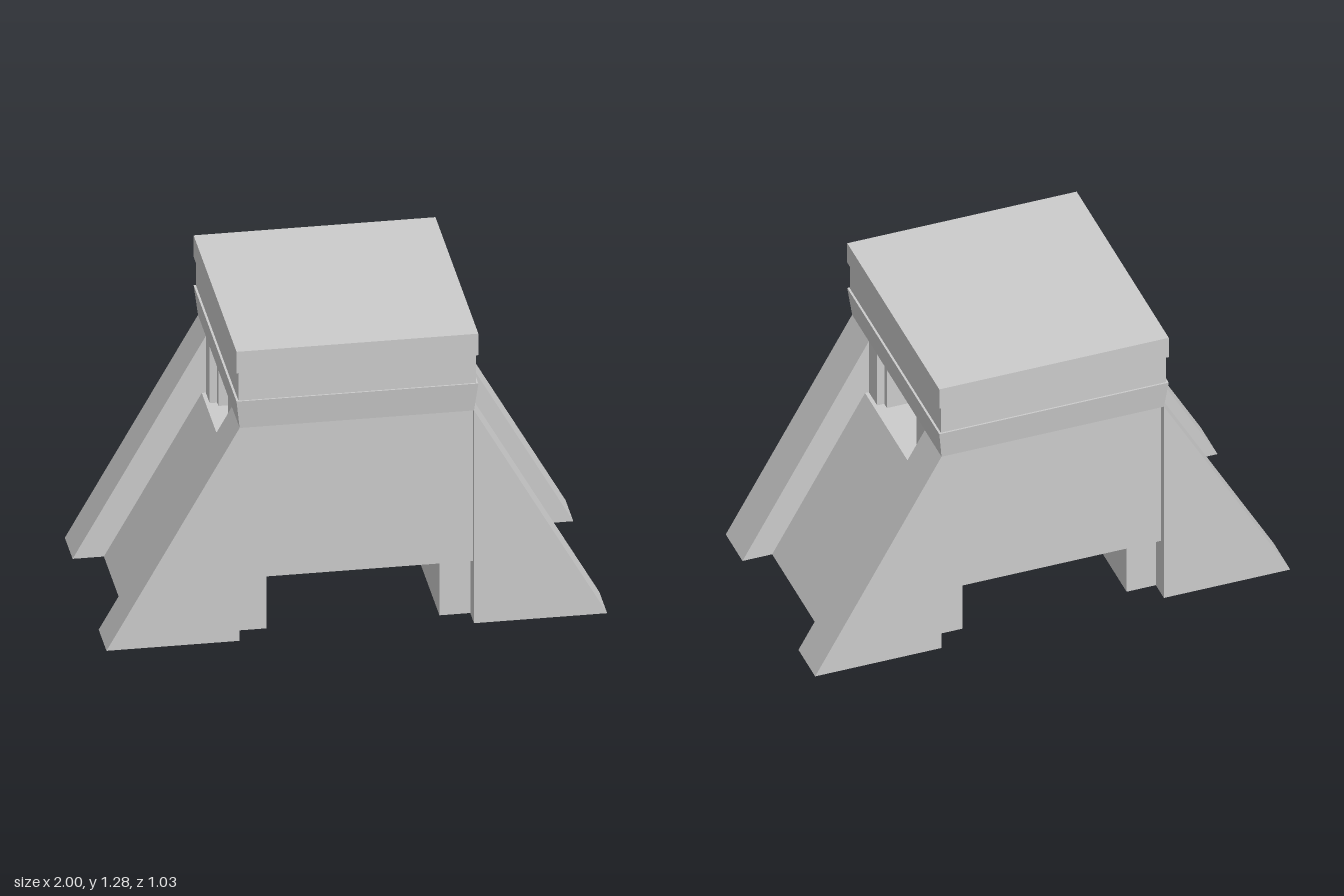
import * as THREE from 'three';

const mat = new THREE.MeshStandardMaterial({ color: 0xcccccc, flatShading: true });

export function createModel() {
  const model = new THREE.Group();

  const add = (name, geometry) => {
    const mesh = new THREE.Mesh(geometry, mat);
    mesh.name = name;
    model.add(mesh);
    return mesh;
  };
  // Box given by its minimum and maximum on each axis
  const box = (name, x0, x1, y0, y1, z0, z1) => add(name,
    new THREE.BoxGeometry(x1 - x0, y1 - y0, z1 - z0)
      .translate((x0 + x1) / 2, (y0 + y1) / 2, (z0 + z1) / 2));
  const polygon = pts => pts.map(p => new THREE.Vector2(p[0], p[1]));
  // Side profile in x and y, extruded from z0 to z1
  const profile = (name, pts, z0, z1) => add(name,
    new THREE.ExtrudeGeometry(new THREE.Shape(polygon(pts)), { depth: z1 - z0, bevelEnabled: false })
      .translate(0, 0, z0));

  // Cap: flat slab, recessed band and a collar that narrows downwards
  box('capSlab', -0.483, 0.483, 1.19, 1.285, -0.515, 0.515);
  box('capBand', -0.474, 0.474, 1.065, 1.19, -0.508, 0.508);
  const collar = box('capCollar', -0.483, 0.483, 0.94, 1.065, -0.515, 0.515).geometry;
  const pos = collar.attributes.position;
  for (let i = 0; i < pos.count; i++) {
    if (pos.getY(i) < 1) {
      pos.setX(i, Math.sign(pos.getX(i)) * 0.468);
      pos.setZ(i, Math.sign(pos.getZ(i)) * 0.5);
    }
  }
  collar.computeVertexNormals();

  // Body raised over the passage, with four pockets open underneath
  const plan = new THREE.Shape(polygon([[-0.468, -0.47], [0.468, -0.47], [0.468, 0.47], [-0.468, 0.47]]));
  for (const sx of [-1, 1]) for (const sz of [-1, 1]) {
    plan.holes.push(new THREE.Path(polygon([
      [sx * 0.14, sz * 0.23], [sx * 0.345, sz * 0.23], [sx * 0.345, sz * 0.44], [sx * 0.14, sz * 0.44]])));
  }
  add('body', new THREE.ExtrudeGeometry(plan, { depth: 0.43, bevelEnabled: false })
    .rotateX(-Math.PI / 2).translate(0, 0.26, 0));

  for (const sz of [-1, 1]) {
    const zBox = (name, x0, x1, y0, y1, a, b) =>
      box(name, x0, x1, y0, y1, Math.min(sz * a, sz * b), Math.max(sz * a, sz * b));
    // Upper walls on both sides of the window tunnel
    zBox('tunnelWall', -0.438, 0.438, 0.69, 0.94, 0.19, 0.47);
    for (const sx of [-1, 1]) {
      zBox('windowJamb', sx > 0 ? 0.438 : -0.468, sx > 0 ? 0.468 : -0.438, 0.69, 0.94, 0.22, 0.47);
      // Sloping corner buttress
      profile('buttress', [[sx * 0.468, 0], [sx, 0], [sx * 0.468, 0.94]],
        sz > 0 ? 0.313 : -0.5, sz > 0 ? 0.5 : -0.313);
    }
  }

  for (const sx of [-1, 1]) {
    // Recessed slope between the buttresses, and the leg beside the passage
    profile('slopedBay', [[sx * 0.468, 0], [sx * 0.875, 0], [sx * 0.484, 0.69], [sx * 0.468, 0.69]], -0.313, 0.313);
    box('leg', sx > 0 ? 0.345 : -0.468, sx > 0 ? 0.468 : -0.345, 0, 0.26, -0.41, 0.41);
  }

  return model;
}
